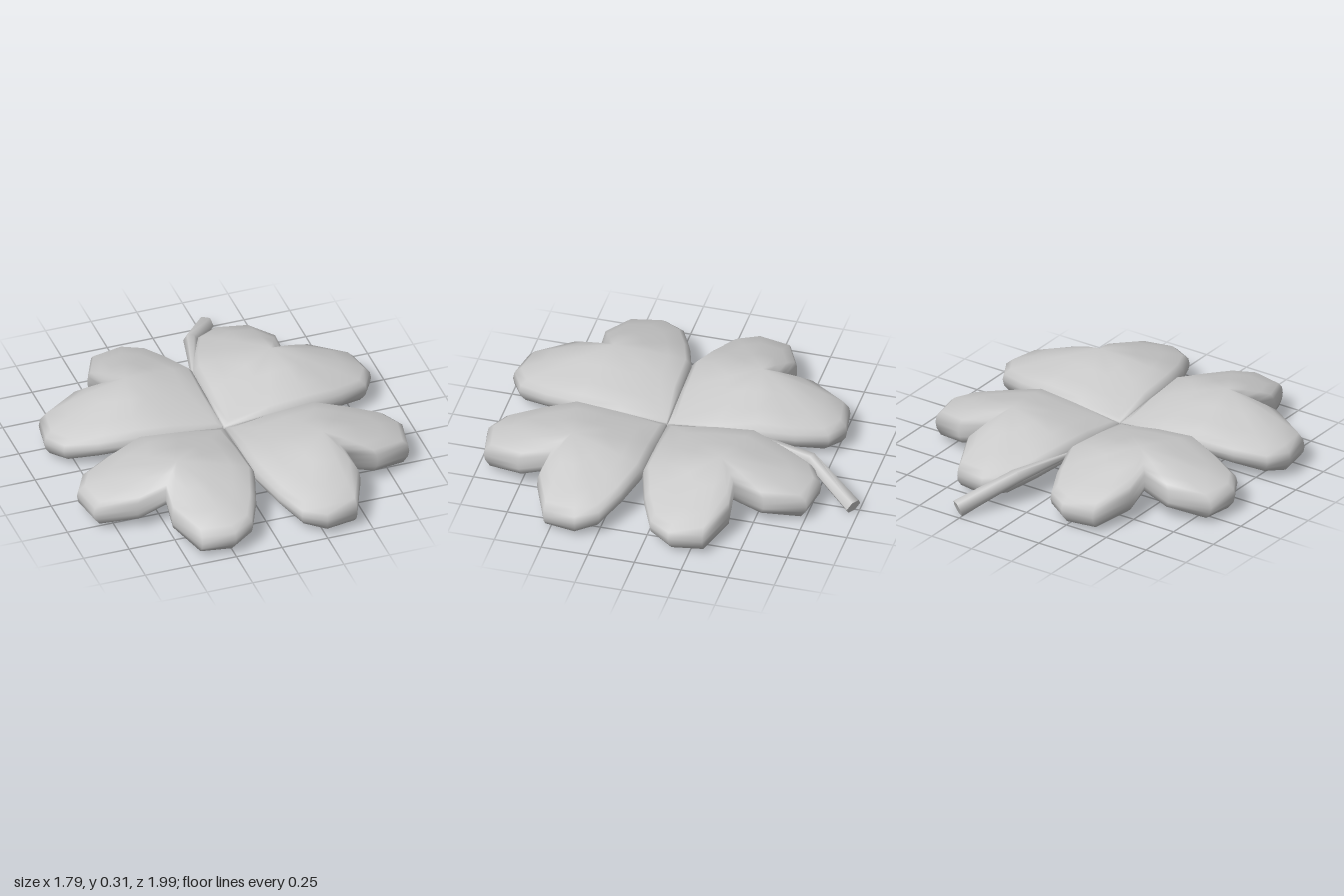
import * as THREE from 'three';
import { mergeVertices, toCreasedNormals } from 'three/addons/utils/BufferGeometryUtils.js';

const material = new THREE.MeshStandardMaterial({ color: 0xcccccc });

// Skin a stack of closed rings (each a list of [x, y, z]); collapsed rings close the ends
function loft(rings) {
  const n = rings[0].length, index = [];
  for (let r = 0; r < rings.length - 1; r++) {
    for (let i = 0; i < n; i++) {
      const j = (i + 1) % n, a = r * n + i, b = r * n + j;
      index.push(a, a + n, b, b, a + n, b + n);
    }
  }
  const geometry = new THREE.BufferGeometry();
  geometry.setAttribute('position', new THREE.Float32BufferAttribute(rings.flat(2), 3));
  geometry.setIndex(index);
  const merged = mergeVertices(geometry, 1e-4);
  merged.computeVertexNormals();
  return merged;
}

// Half of the heart outline: x, z, rim height, rise above rim, drop below rim
const half = [
  [0, 0, 0.155, 0.025, 0.025],
  [0.25, 0, 0.165, 0.055, 0.03],
  [0.48, 0, 0.17, 0.07, 0.045],
  [0.67, 0.06, 0.145, 0.06, 0.055],
  [0.83, 0.135, 0.12, 0.06, 0.065],
  [0.895, 0.25, 0.11, 0.065, 0.075],
  [0.865, 0.425, 0.1, 0.07, 0.065],
  [0.66, 0.515, 0.14, 0.07, 0.06],
  [0.495, 0.495, 0.18, 0.06, 0.06],
];

function leafGeometry() {
  // Mirror the outline across the leaf's diagonal
  const mirrored = half.slice(1, -1).reverse().map(([x, z, ...rest]) => [z, x, ...rest]);
  const outline = [...half, ...mirrored];
  const c = 0.4;
  const ring = (s, height) => outline.map((p) => [c + (p[0] - c) * s, height(p), c + (p[1] - c) * s]);
  const top = (k) => ([, , y, up]) => (y + up) * (1 - k) + 0.313 * k;
  const under = (k) => ([, , y, , down]) => (y - down) * (1 - k) + 0.15 * k;
  return loft([
    ring(0, under(1)),
    ring(0.5, under(0.5)),
    ring(0.93, under(0)),
    ring(0.985, ([, , y, , down]) => y - down * 0.5),
    ring(1, (p) => p[2]),
    ring(0.985, ([, , y, up]) => y + up * 0.55),
    ring(0.92, top(0)),
    ring(0.7, top(0.28)),
    ring(0.4, top(0.62)),
    ring(0, top(1)),
  ]);
}

// Six-sided stalk that thickens towards its bent, cut end
function stemGeometry() {
  const path = [
    [0, 0.15, 0.1, 0.01],
    [0.005, 0.18, -0.38, 0.016],
    [0.1, 0.165, -0.7, 0.038],
    [0.277, 0.042, -0.975, 0.046],
  ];
  const points = path.map(([x, y, z]) => new THREE.Vector3(x, y, z));
  const rings = points.map((p, k) => {
    const from = points[Math.max(k - 1, 0)], to = points[Math.min(k + 1, points.length - 1)];
    const along = to.clone().sub(from).normalize();
    const side = new THREE.Vector3(0, 1, 0).cross(along).normalize();
    const up = along.clone().cross(side);
    return Array.from({ length: 6 }, (_, i) => {
      const a = -i * Math.PI / 3;
      return p.clone().addScaledVector(side, Math.cos(a) * path[k][3])
        .addScaledVector(up, Math.sin(a) * path[k][3]).toArray();
    });
  });
  const collapse = (p) => Array.from({ length: 6 }, () => p.toArray());
  return toCreasedNormals(loft([collapse(points[0]), ...rings, collapse(points[3])]), 1.15);
}

export function createModel() {
  const model = new THREE.Group();
  model.name = 'fourLeafClover';

  // Four heart-shaped leaves around the centre
  const leaf = leafGeometry();
  for (let i = 0; i < 4; i++) {
    const mesh = new THREE.Mesh(leaf, material);
    mesh.name = `leaf${i + 1}`;
    mesh.rotation.y = i * Math.PI / 2;
    mesh.position.z = 0.1;
    model.add(mesh);
  }

  // Stem running out between the two back leaves
  const stem = new THREE.Mesh(stemGeometry(), material);
  stem.name = 'stem';
  model.add(stem);
  return model;
}
